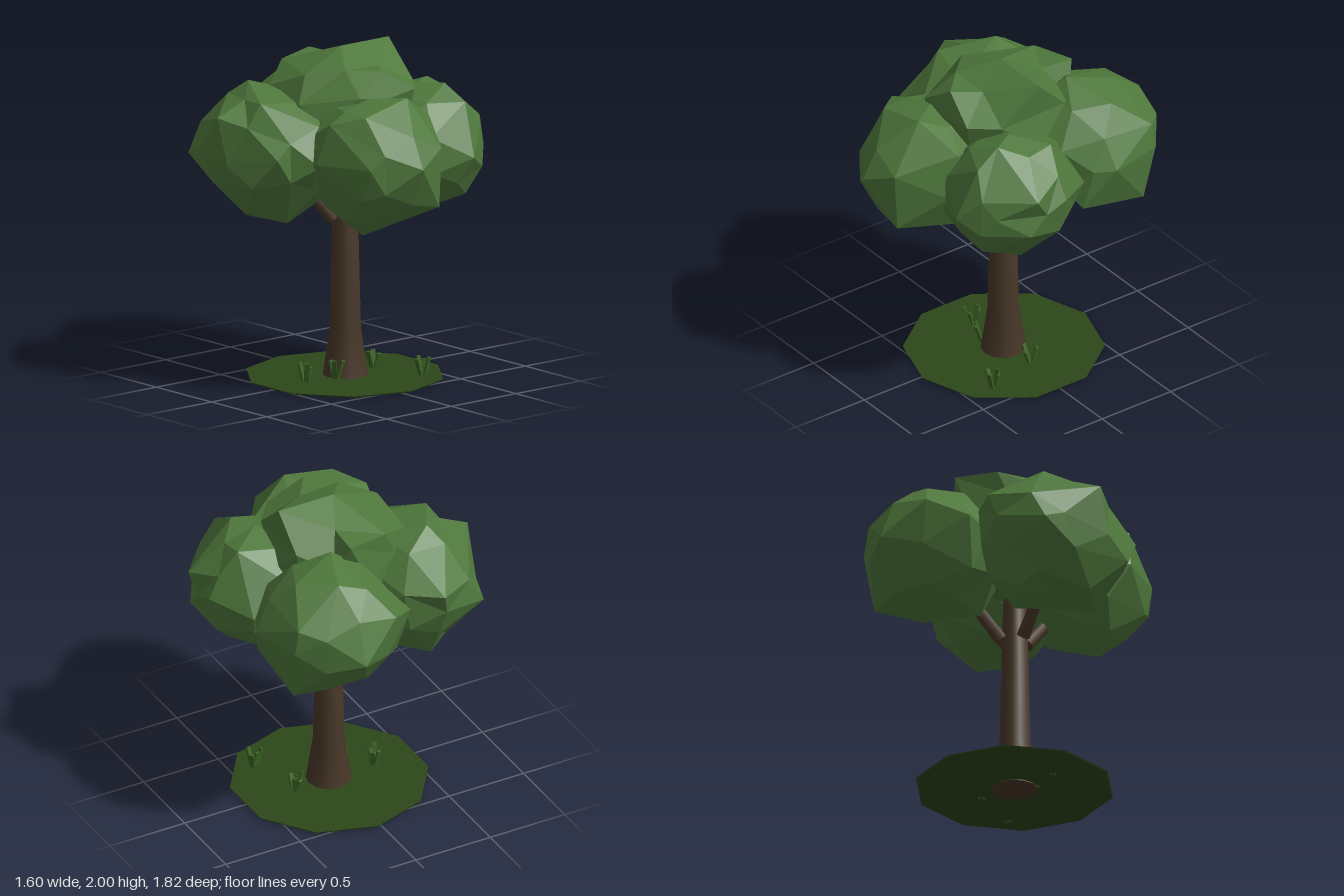
import * as THREE from 'three';
import { mergeVertices } from 'three/addons/utils/BufferGeometryUtils.js';

const mat = (color, flatShading = true) => new THREE.MeshStandardMaterial({ color, flatShading });

function seeded(seed) {
  let s = seed;
  return () => (s = (s * 16807) % 2147483647) / 2147483647;
}

// Faceted leaf clump: a jittered icosphere whose nearest corners are pulled to the given peaks
function clumpGeometry({ center, radius, peaks }, seed) {
  const rand = seeded(seed * 7919 + 13);
  const base = new THREE.IcosahedronGeometry(1, 1);
  base.deleteAttribute('normal');
  base.deleteAttribute('uv');
  const geo = mergeVertices(base, 1e-3);
  const pos = geo.attributes.position;
  const c = new THREE.Vector3(...center), r = new THREE.Vector3(...radius);
  const dirs = [], v = new THREE.Vector3();
  for (let i = 0; i < pos.count; i++) {
    dirs.push(v.fromBufferAttribute(pos, i).clone());
    v.multiplyScalar(0.95 + 0.07 * rand()).multiply(r).add(c);
    pos.setXYZ(i, v.x, v.y, v.z);
  }
  const used = new Set();
  for (const p of peaks) {
    const d = new THREE.Vector3(...p).sub(c).divide(r).normalize();
    let best = -1;
    dirs.forEach((q, i) => {
      if (!used.has(i) && (best < 0 || q.dot(d) > dirs[best].dot(d))) best = i;
    });
    used.add(best);
    pos.setXYZ(best, ...p);
  }
  geo.computeVertexNormals();
  return geo;
}

const CLUMPS = {
  frontLeaves: {
    center: [-0.13, 1.4, 0.43], radius: [0.4, 0.39, 0.45],
    peaks: [[-0.14, 1.43, 0.91], [0, 1.79, 0.6], [-0.47, 1.67, 0.45], [-0.53, 1.43, 0.4], [-0.2, 0.96, 0.43],
      [0.27, 1.38, 0.58], [0.25, 1.64, 0.5], [-0.4, 1.43, 0.74], [0.07, 1.16, 0.81], [0.07, 1.52, 0.83],
      [-0.4, 1.24, 0.68], [0, 1.04, 0.28], [0.2, 1.14, 0.5], [-0.33, 1.72, 0.61]],
  },
  leftLeaves: {
    center: [0.4, 1.4, 0.24], radius: [0.39, 0.37, 0.43],
    peaks: [[0.8, 1.52, 0.32], [0.77, 1.28, 0.35], [0.56, 1.02, 0.27], [0.46, 1.37, 0.67], [0.6, 1.74, 0.08],
      [0.78, 1.45, 0.1], [0.66, 1.4, 0.52], [0.48, 1.77, 0.38], [0.62, 1.4, -0.15], [0.45, 1.2, -0.22],
      [0.5, 1.68, 0.54], [0.52, 1.12, 0.52], [0.22, 1.08, 0.15]],
  },
  backLeaves: {
    center: [0.27, 1.45, -0.44], radius: [0.43, 0.38, 0.44],
    peaks: [[0.28, 1.4, -0.91], [0.7, 1.45, -0.33], [0.6, 1.6, -0.66], [0.02, 1.6, -0.8], [-0.17, 1.5, -0.63],
      [0.2, 1.85, -0.33], [0.3, 1.8, -0.6], [0.6, 1.12, -0.6], [0.22, 1.26, -0.79], [0.05, 1.08, -0.5],
      [0.12, 1.08, -0.2], [0.35, 1.08, -0.35], [0.6, 1.2, -0.16], [-0.12, 1.2, -0.55]],
  },
  rightLeaves: {
    center: [-0.4, 1.42, -0.16], radius: [0.4, 0.38, 0.51],
    peaks: [[-0.8, 1.65, -0.18], [-0.79, 1.37, -0.1], [-0.77, 1.27, 0.1], [-0.65, 1.06, -0.1], [-0.5, 1.02, 0.1],
      [-0.46, 1.81, -0.3], [-0.37, 1.55, -0.69], [-0.7, 1.36, -0.56], [-0.7, 1.45, 0.25], [-0.48, 1.4, 0.38],
      [-0.4, 1.03, -0.46], [-0.15, 1.05, -0.2], [-0.17, 1.55, -0.55], [-0.16, 1.15, -0.45], [-0.62, 1.74, 0]],
  },
  topLeaves: {
    center: [-0.02, 1.6, 0], radius: [0.42, 0.38, 0.43],
    peaks: [[0.37, 2.0, 0], [0, 2.0, 0], [-0.32, 1.88, 0.05], [0.12, 1.9, -0.43], [-0.15, 1.88, -0.36],
      [-0.36, 1.78, -0.22], [0, 1.91, 0.37], [-0.41, 1.72, 0.1], [0.35, 1.78, 0.25], [0, 1.75, 0.42],
      [0.22, 1.78, 0.41], [-0.2, 1.78, 0.41], [0.36, 1.8, -0.2]],
  },
};

export function createModel() {
  const tree = new THREE.Group();
  tree.name = 'tree';
  const add = (name, geo, material, parent = tree) => {
    const mesh = new THREE.Mesh(geo, material);
    mesh.name = name;
    parent.add(mesh);
    return mesh;
  };
  const leaf = mat(0x4f783c), bark = mat(0x483728, false), grass = mat(0x3c6424);
  const X = 0.03, Z = 0.005;

  // Ground: thin ten-sided disc
  add('ground', new THREE.CylinderGeometry(0.595, 0.59, 0.008, 10), mat(0x2d4719)).position.set(X, 0.01, 0);

  // Trunk with a flared foot
  const profile = [[0, 0], [0.137, 0], [0.137, 0.002], [0.094, 0.29], [0.071, 1.22], [0, 1.22]];
  add('trunk', new THREE.LatheGeometry(profile.map(p => new THREE.Vector2(...p)), 12), bark).position.set(X, 0, Z);

  // Branches, one towards each outer clump
  const branches = new THREE.Group();
  branches.name = 'branches';
  tree.add(branches);
  for (const a of [0.3, 1.83, 3.4, 5.25]) {
    const out = new THREE.Vector3(Math.cos(a), 0, Math.sin(a));
    const start = new THREE.Vector3(X, 0.96, Z).addScaledVector(out, 0.085);
    const dir = out.clone().multiplyScalar(0.64).setY(0.77).normalize();
    const branch = add('branch', new THREE.CylinderGeometry(0.034, 0.04, 0.32, 8), bark, branches);
    branch.position.copy(start).addScaledVector(dir, 0.16);
    branch.quaternion.setFromUnitVectors(new THREE.Vector3(0, 1, 0), dir);
  }

  // Crown
  const crown = new THREE.Group();
  crown.name = 'crown';
  tree.add(crown);
  Object.entries(CLUMPS).forEach(([name, c], i) => add(name, clumpGeometry(c, i + 1), leaf, crown));

  // Grass tufts: blades fanned outwards
  const rand = seeded(77);
  for (const [x, z] of [[-0.27, 0], [-0.09, 0.06], [0.27, -0.02], [0.36, 0.32]]) {
    const tuft = new THREE.Group();
    tuft.name = 'grassTuft';
    tuft.position.set(x, 0.005, z);
    tree.add(tuft);
    for (let i = 0; i < 4; i++) {
      const h = 0.1 + 0.035 * rand();
      const geo = new THREE.BoxGeometry(0.028, h, 0.012).translate(0, h / 2, 0);
      const blade = add('blade', geo, grass, tuft);
      blade.rotation.set(0.2 + 0.25 * rand(), i * 1.57 + rand(), 0, 'YXZ');
      blade.position.set(Math.sin(blade.rotation.y) * 0.012, 0, Math.cos(blade.rotation.y) * 0.012);
    }
  }
  return tree;
}
